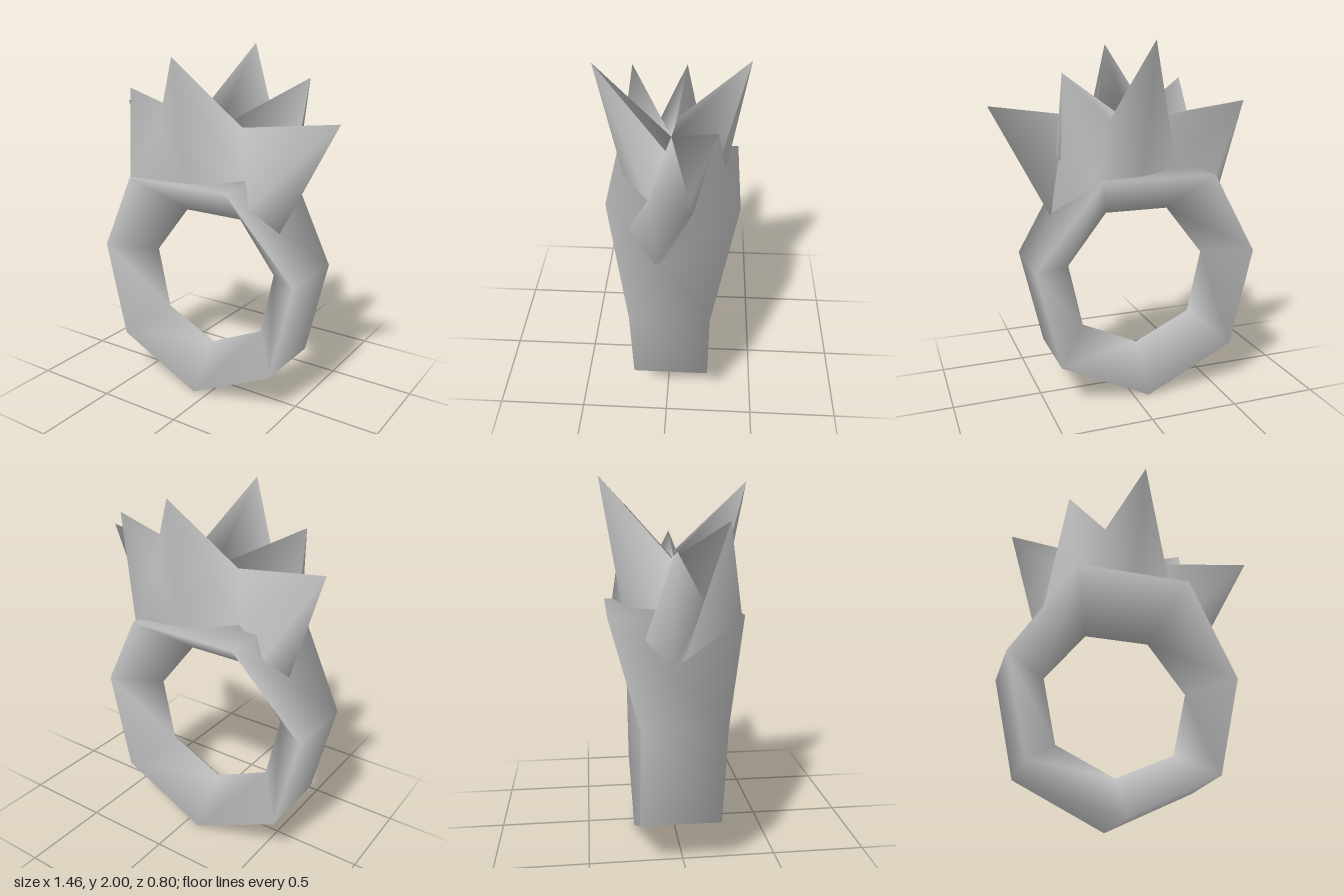
import * as THREE from 'three';

function indexed(points, index) {
  const g = new THREE.BufferGeometry();
  g.setAttribute('position', new THREE.Float32BufferAttribute(points.flat(), 3));
  g.setIndex(index);
  return g;
}

// Seven-sided band with a wedge section: wide outside, single ridge inside.
// Half profile from the bottom up: outer x, y, inner x, y, half depth
const bandHalf = [
  [0, 0, 0, 0.245, 0.213],
  [0.515, 0.25, 0.33, 0.4, 0.213],
  [0.645, 0.81, 0.41, 0.765, 0.213],
  [0.315, 1.3, 0.185, 1.053, 0.353],
];

function bandGeometry() {
  const cx = -0.085, cz = -0.022;
  const mirrored = bandHalf.slice(1).reverse().map(([ox, oy, ix, iy, d]) => [-ox, oy, -ix, iy, d]);
  const stations = [...bandHalf, ...mirrored];
  const n = stations.length, points = [], normals = [], index = [];
  stations.forEach(([ox, oy, ix, iy, d], i) => {
    points.push([cx + ox, oy, cz + d], [cx + ox, oy, cz - d], [cx + ix, iy, cz]);
    // Soft normals: the rims face front and back, the ridge faces the hole
    const a = -Math.PI / 2 + (i / n) * Math.PI * 2;
    const c = Math.cos(a), s = Math.sin(a), t = 0.22;
    normals.push(t * c, t * s, 0.975, t * c, t * s, -0.975, -c, -s, 0);
    const j = (i + 1) % n;
    for (let k = 0; k < 3; k++) {
      const k2 = (k + 1) % 3;
      index.push(i * 3 + k, i * 3 + k2, j * 3 + k, j * 3 + k, i * 3 + k2, j * 3 + k2);
    }
  });
  const g = indexed(points, index);
  g.setAttribute('normal', new THREE.Float32BufferAttribute(normals, 3));
  return g;
}

// Crown rim: tips and valleys alternate, from the front tip round by +x
const rim = [
  [-0.04, 1.97, 0.4], [0.14, 1.58, 0.02], [0.725, 1.66, 0.06],
  [0.4, 1.38, -0.13], [0.4, 1.84, -0.24], [0.16, 1.6, -0.27],
  [-0.04, 2.0, -0.4], [-0.22, 1.58, -0.03], [-0.725, 1.66, -0.06],
  [-0.47, 1.38, 0.11], [-0.45, 1.78, 0.24], [-0.24, 1.6, 0.26],
];
// Crown foot, resting on the band
const foot = [
  [-0.06, 1.28, 0.265], [0.21, 1.32, 0.11], [0.3, 1.2, 0.21],
  [0.4, 1.04, 0.06], [0.4, 1.07, 0.02], [0.25, 1.28, -0.33],
  [-0.02, 1.28, -0.28], [-0.28, 1.32, -0.12], [-0.47, 1.2, -0.19],
  [-0.55, 1.05, -0.06], [-0.54, 1.08, -0.01], [-0.41, 1.28, 0.315],
];
// Pairs of rim and foot points joined by the wall, for half a turn
const columns = [[0, 0], [0, 1], [1, 1], [2, 2], [2, 3], [3, 4], [4, 5], [5, 5], [5, 6]];

function crownGeometry() {
  const n = rim.length, wall = [], top = [];
  const loop = [...columns, ...columns.map(([r, f]) => [r + 6, (f + 6) % n])];
  loop.forEach(([r, f], i) => {
    const [r2, f2] = loop[(i + 1) % loop.length];
    if (f !== f2) wall.push(n + f, n + f2, r2);
    if (r !== r2) wall.push(r, n + f, r2);
  });
  for (let i = 0; i < n; i++) top.push(2 * n, i, (i + 1) % n);
  // The wall sets the soft normals, and the hollow top blends into them
  const g = indexed([...rim, ...foot, [-0.04, 1.56, 0]], wall);
  g.computeVertexNormals();
  g.attributes.normal.setXYZ(2 * n, 0, 1, 0);
  g.setIndex([...wall, ...top]);
  return g;
}

export function createModel() {
  const metal = new THREE.MeshStandardMaterial({ color: 0xc4c4c4, side: THREE.DoubleSide });
  metal.name = 'silver grey';
  const group = new THREE.Group();
  group.name = 'crownRing';
  for (const [name, geometry] of Object.entries({ band: bandGeometry(), crown: crownGeometry() })) {
    const mesh = new THREE.Mesh(geometry, metal);
    mesh.name = name;
    group.add(mesh);
  }
  return group;
}
